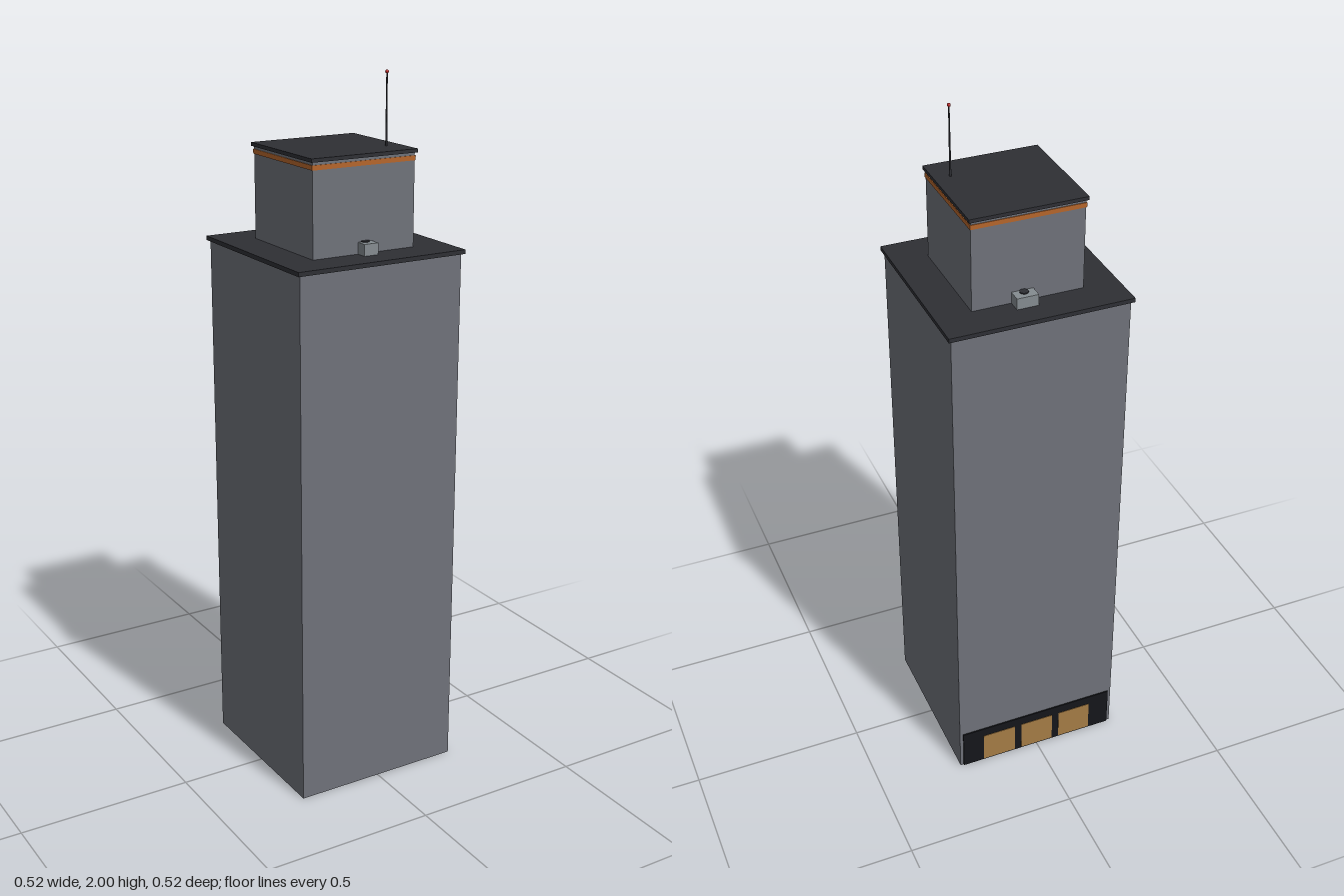
import * as THREE from 'three';

const mat = (color) => new THREE.MeshStandardMaterial({ color });

export function createModel() {
  const model = new THREE.Group();
  model.name = 'tower';
  const concrete = mat(0x6f727a), dark = mat(0x2e2f34), black = mat(0x15161a);
  const orange = mat(0xb5652b), glow = mat(0xa57c45), metal = mat(0x858c90), red = mat(0xb02020);

  const add = (name, geometry, material, x, y, z, parent = model) => {
    const mesh = new THREE.Mesh(geometry, material);
    mesh.name = name;
    mesh.position.set(x, y, z);
    parent.add(mesh);
    return mesh;
  };
  // Square block centred on the tower axis, between two heights
  const block = (name, half, y0, y1, material) =>
    add(name, new THREE.BoxGeometry(half * 2, y1 - y0, half * 2), material, 0, (y0 + y1) / 2, 0);

  // Stacked volumes
  block('towerBody', 0.25, 0, 1.523, concrete);
  block('mainRoofSlab', 0.258, 1.523, 1.535, dark);
  block('penthouse', 0.157, 1.535, 1.79, concrete);
  block('lightBand', 0.159, 1.769, 1.782, orange);
  block('penthouseRoof', 0.163, 1.79, 1.8, dark);

  // Entrance on the back face: dark surround with three lit panes
  const entrance = new THREE.Group();
  entrance.name = 'entrance';
  model.add(entrance);
  add('entranceSurround', new THREE.BoxGeometry(0.48, 0.128, 0.008), black, 0, 0.064, -0.25, entrance);
  for (const x of [-0.124, 0, 0.124])
    add('entrancePane', new THREE.BoxGeometry(0.102, 0.096, 0.004), glow, x, 0.052, -0.2535, entrance);

  // Rooftop ventilation units, partly tucked under the penthouse walls
  const vent = (name, x, z, w, d) => {
    const unit = new THREE.Group();
    unit.name = name;
    unit.position.set(x, 1.535, z);
    model.add(unit);
    add('ventCasing', new THREE.BoxGeometry(w, 0.032, d), metal, 0, 0.016, 0, unit);
    add('ventFan', new THREE.CylinderGeometry(0.012, 0.012, 0.004, 16), dark, 0, 0.033, 0, unit);
  };
  vent('frontVent', 0.003, 0.158, 0.043, 0.062);
  vent('backVent', 0.0165, -0.168, 0.061, 0.052);

  // Antenna with a red beacon
  add('antennaMast', new THREE.CylinderGeometry(0.002, 0.003, 0.195, 8), dark, 0.118, 1.8975, 0.078);
  add('antennaBeacon', new THREE.SphereGeometry(0.005, 12, 8), red, 0.118, 1.995, 0.078);
  return model;
}
